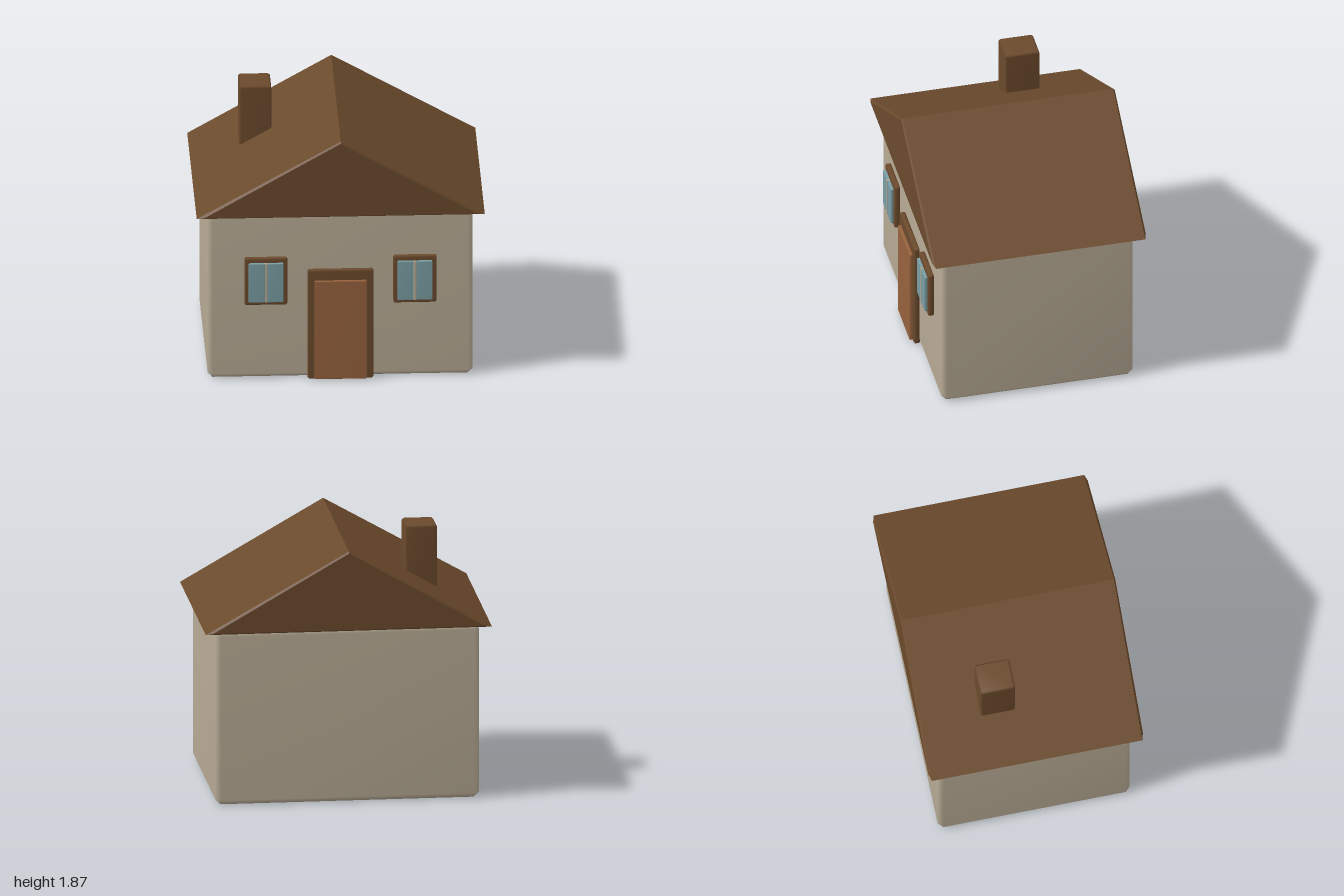
import * as THREE from 'three';
import { mergeVertices } from 'three/addons/utils/BufferGeometryUtils.js';
import { ConvexGeometry } from 'three/addons/geometries/ConvexGeometry.js';

const material = (name, color) => {
  const m = new THREE.MeshStandardMaterial({ color });
  m.name = name;
  return m;
};

// Box with one chamfer on every edge, softly shaded across the chamfers.
function chamferBox([x0, x1], [y0, y1], [z0, z1], bevel) {
  const half = [(x1 - x0) / 2, (y1 - y0) / 2, (z1 - z0) / 2];
  const points = [];
  for (const sx of [-1, 1]) for (const sy of [-1, 1]) for (const sz of [-1, 1])
    for (let axis = 0; axis < 3; axis++) {
      const p = [sx, sy, sz].map((s, i) => s * (half[i] - (i === axis ? 0 : bevel)));
      points.push(new THREE.Vector3(...p));
    }
  let geometry = new ConvexGeometry(points);
  geometry.deleteAttribute('normal');
  geometry = mergeVertices(geometry, 1e-4);
  geometry.computeVertexNormals();
  return geometry.translate((x0 + x1) / 2, (y0 + y1) / 2, (z0 + z1) / 2);
}

// Gable prism whose end triangles are slightly inset.
function gableRoof() {
  const points = [];
  for (const s of [-1, 1]) {
    for (const [x, y, z] of [
      [-1, 1.24, 0.745], [1, 1.24, 0.745], [0, 1.81, 0.75],
      [-0.95, 1.25, 0.76], [0.95, 1.25, 0.76], [0, 1.797, 0.76],
    ]) points.push(new THREE.Vector3(x, y, z * s));
  }
  return new ConvexGeometry(points);
}

export function createModel() {
  const wall = material('wall plaster', 0xb8ab95);
  const brown = material('dark wood', 0x6b4a2c);
  const doorWood = material('door wood', 0x96623d);
  const glass = material('window glass', 0x7a9fa5);

  const house = new THREE.Group();
  house.name = 'house';
  const add = (name, geometry, mat, parent = house) => {
    const mesh = new THREE.Mesh(geometry, mat);
    mesh.name = name;
    parent.add(mesh);
  };

  // Body, roof and chimney
  add('walls', chamferBox([-0.92, 0.92], [0, 1.24], [-0.68, 0.68], 0.035), wall);
  add('roof', gableRoof(), brown);
  add('chimney', chamferBox([-0.667, -0.445], [1.3, 1.87], [-0.33, -0.085], 0.013), brown);

  // Door
  add('doorFrame', chamferBox([-0.228, 0.228], [0.003, 0.823], [0.677, 0.721], 0.01), brown);
  add('door', chamferBox([-0.182, 0.182], [0.008, 0.748], [0.715, 0.743], 0.006), doorWood);

  // Windows: frame, two panes and a centre bar
  for (const [name, cx] of [['rightWindow', -0.518], ['leftWindow', 0.516]]) {
    const group = new THREE.Group();
    group.name = name;
    group.position.x = cx;
    house.add(group);
    add('windowFrame', chamferBox([-0.149, 0.149], [0.568, 0.92], [0.677, 0.721], 0.01), brown, group);
    for (const s of [-1, 1]) {
      const xs = s < 0 ? [-0.12, -0.008] : [0.008, 0.12];
      add('windowPane', chamferBox(xs, [0.597, 0.888], [0.715, 0.742], 0.004), glass, group);
    }
    add('windowBar', chamferBox([-0.009, 0.009], [0.597, 0.888], [0.715, 0.744], 0.002), wall, group);
  }
  return house;
}
